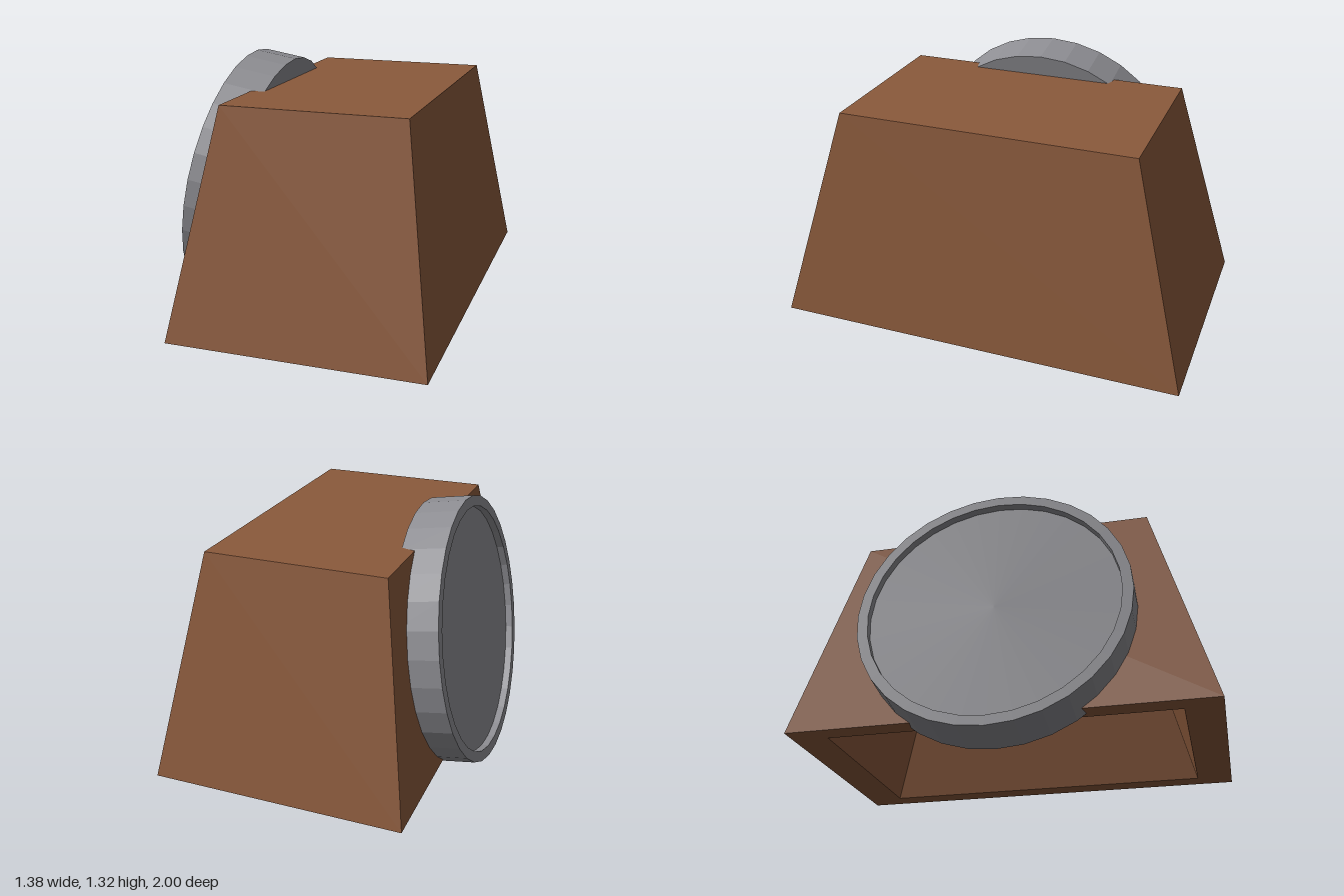
import * as THREE from 'three';

// Flat-shaded solid of revolution from [radius, height] pairs
function turned(name, profile, sides, color, phiStart = 0) {
  const points = profile.map(([r, y]) => new THREE.Vector2(r, y));
  const geometry = new THREE.LatheGeometry(points, sides, phiStart);
  const material = new THREE.MeshStandardMaterial({ color, flatShading: true });
  const mesh = new THREE.Mesh(geometry, material);
  mesh.name = name;
  return mesh;
}

export function createModel() {
  const group = new THREE.Group();

  // Hollow tapered housing, open underneath: a four-sided lathe stretched to a rectangle
  const base = 0.145, top = 1.19, ceiling = 1.01;
  const taper = 0.715, inner = 0.827;
  const housing = turned('housing', [
    [0, ceiling], [inner * taper, ceiling], [inner, base],
    [1, base], [taper, top], [0, top],
  ].map(([r, y]) => [r * Math.SQRT2, y]), 4, 0x8b5a3c, Math.PI / 4);
  housing.scale.set(0.6075, 1, 1);
  housing.position.x = 0.083;
  group.add(housing);

  // Round plate with a raised rim, set into the sloping side
  const radius = 0.654, rim = 0.603, half = 0.105, recess = 0.036;
  const dial = turned('rimmedDisc', [
    [0, -half], [radius, -half], [radius, half],
    [rim, half], [rim, half - recess], [0, half - recess],
  ], 32, 0x8e8e93);
  dial.rotation.z = THREE.MathUtils.degToRad(80.5);
  dial.position.set(-0.48, 0.6655, 0);
  group.add(dial);

  return group;
}
